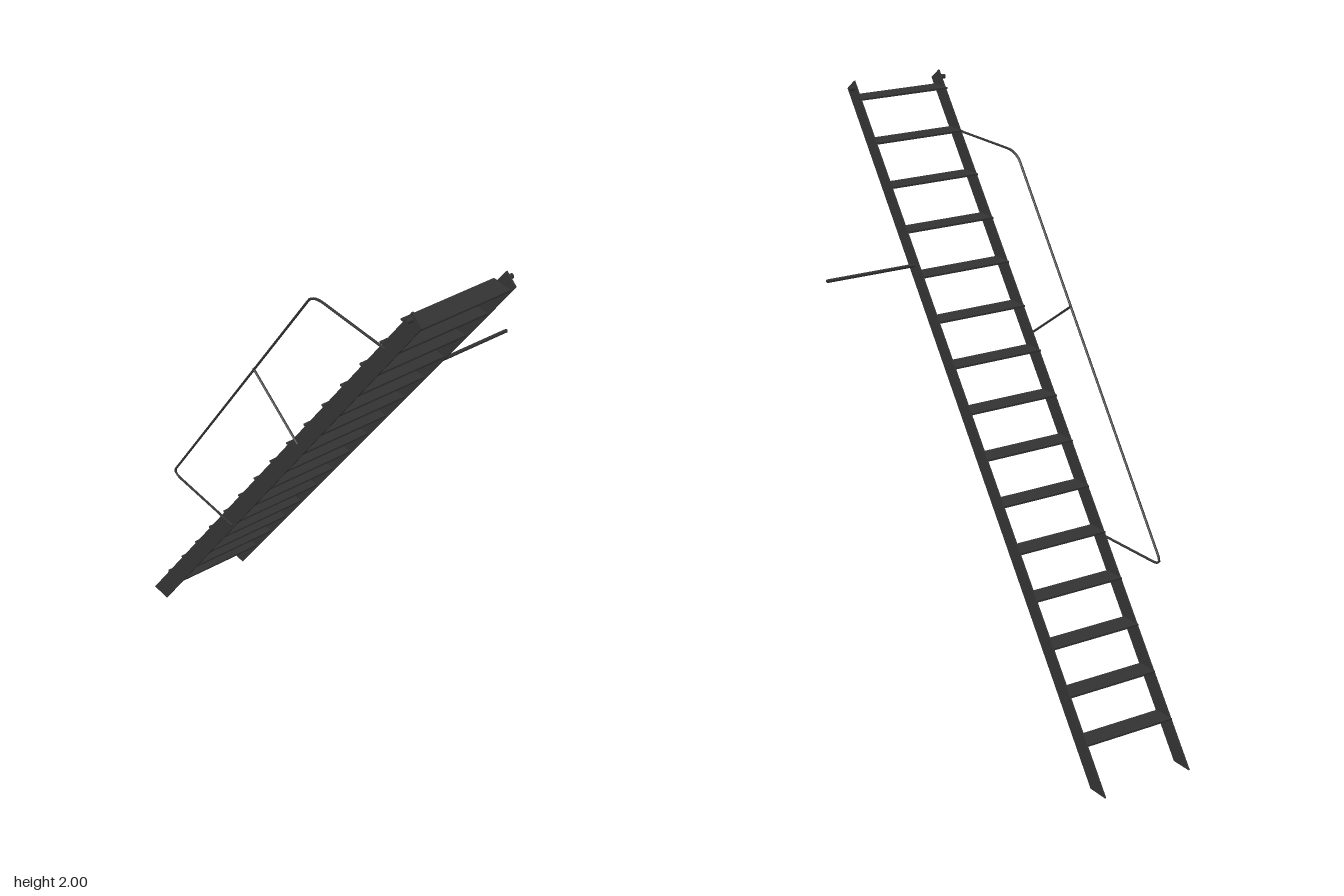
import * as THREE from 'three';

export function createModel() {
  const root = new THREE.Group();
  root.name = 'ladder';
  const steel = new THREE.MeshStandardMaterial({ color: 0x333333 });
  steel.name = 'dark steel';

  const add = (name, geometry, x = 0, y = 0, z = 0) => {
    const mesh = new THREE.Mesh(geometry, steel);
    mesh.name = name;
    mesh.position.set(x, y, z);
    root.add(mesh);
    return mesh;
  };
  const v = (x, y, z) => new THREE.Vector3(x, y, z);

  const backZ = -0.011, frontZ = 0.319, midZ = (backZ + frontZ) / 2;

  // Stringers: leaning plates cut level at the foot and square at the head
  const profile = new THREE.Shape([
    [-0.746, 0], [-0.67, 0], [0.745, 1.968], [0.702, 2],
  ].map(([x, y]) => new THREE.Vector2(x, y)));
  const thick = 0.005;
  for (const [name, z] of [['backStringer', backZ], ['frontStringer', frontZ]]) {
    add(name, new THREE.ExtrudeGeometry(profile, { depth: thick, bevelEnabled: false }), 0, 0, z - thick / 2);
  }

  // Treads: level plates between the stringers
  const treadGeometry = new THREE.BoxGeometry(0.075, 0.006, frontZ - backZ);
  for (let i = 0; i < 15; i++) {
    add('tread', treadGeometry, -0.613 + i * 0.0929, 0.14 + i * 0.129, midZ);
  }

  // Short pins at the head, pointing outward
  const pinGeometry = new THREE.CylinderGeometry(0.008, 0.008, 0.022, 12).rotateX(Math.PI / 2);
  add('backPin', pinGeometry, 0.702, 1.975, backZ - 0.011);
  add('frontPin', pinGeometry, 0.702, 1.975, frontZ + 0.011);

  // Long side rod behind the back stringer
  add('sideRod', new THREE.CylinderGeometry(0.006, 0.006, 0.329, 12).rotateX(Math.PI / 2),
    0.341, 1.456, backZ - 0.1645);

  // Handrail: a bent rod with rounded corners
  const railZ = 0.324;
  const rail = new THREE.CurvePath();
  const corner = (a, b, c) => new THREE.QuadraticBezierCurve3(v(...a, railZ), v(...b, railZ), v(...c, railZ));
  const line = (a, b) => new THREE.LineCurve3(v(...a, railZ), v(...b, railZ));
  rail.add(line([0.59, 1.813], [0.30, 1.809]));
  rail.add(corner([0.30, 1.809], [0.255, 1.808], [0.23, 1.783]));
  rail.add(line([0.23, 1.783], [-0.545, 0.676]));
  rail.add(corner([-0.545, 0.676], [-0.575, 0.641], [-0.525, 0.64]));
  rail.add(line([-0.525, 0.64], [-0.22, 0.638]));
  add('handrail', new THREE.TubeGeometry(rail, 160, 0.004, 8, false));

  // Brace from the handrail to the stringer
  add('handrailBrace', new THREE.TubeGeometry(line([-0.068, 1.365], [0.16, 1.212]), 1, 0.004, 8, false));

  return root;
}
